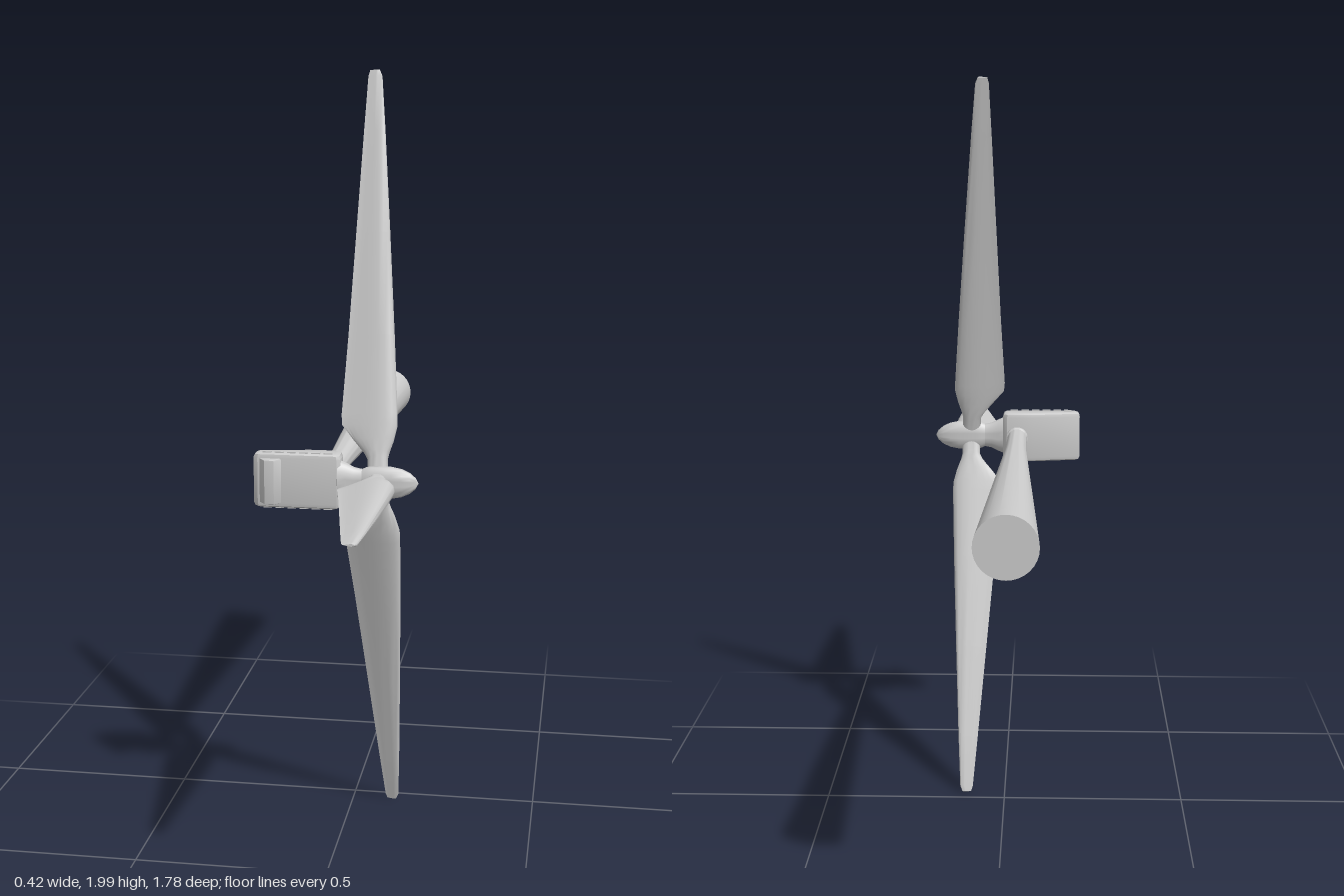
import * as THREE from 'three';
import { toCreasedNormals } from 'three/addons/utils/BufferGeometryUtils.js';

const grey = new THREE.MeshStandardMaterial({ color: 0xcccccc });

function add(parent, name, geometry) {
  const mesh = new THREE.Mesh(geometry, grey);
  mesh.name = name;
  parent.add(mesh);
  return mesh;
}

// Plan outline in x/z, extruded across y with bevelled sides
function slab(points, width, bevel) {
  const shape = new THREE.Shape(points.map(([x, z]) => new THREE.Vector2(x, z)));
  const depth = width - 2 * bevel;
  const geo = new THREE.ExtrudeGeometry(shape, {
    depth, bevelThickness: bevel, bevelSize: bevel, bevelOffset: -bevel, bevelSegments: 2,
  });
  geo.translate(0, 0, -depth / 2);
  geo.rotateX(Math.PI / 2);
  return toCreasedNormals(geo, 0.6);
}

// Lofted blade along +y: round root, widest near the root, thin tapered tip
function bladeGeometry(length, lean) {
  // span fraction, trailing x, leading x, half thickness, airfoil amount
  const stations = [
    [0.0, -0.026, 0.026, 0.026, 0], [0.055, -0.026, 0.026, 0.026, 0],
    [0.07, -0.034, 0.03, 0.027, 0.1], [0.10, -0.06, 0.042, 0.028, 0.5],
    [0.135, -0.088, 0.052, 0.028, 0.9], [0.16, -0.089, 0.053, 0.027, 1],
    [0.35, -0.068, 0.05, 0.021, 1], [0.6, -0.043, 0.044, 0.014, 1],
    [0.85, -0.018, 0.037, 0.008, 1], [0.985, -0.004, 0.032, 0.005, 1],
    [1.0, 0.001, 0.026, 0.003, 1],
  ];
  const n = 20, pos = [], index = [];
  for (const [t, x0, x1, h, k] of stations) {
    for (let j = 0; j < n; j++) {
      const a = (j / n) * Math.PI * 2, c = Math.cos(a);
      const foil = 1 - k + k * (1 + c) / 1.3;
      pos.push((x0 + x1) / 2 + (x1 - x0) / 2 * c + lean * t, t * length, h * Math.sin(a) * foil);
    }
  }
  for (let i = 0; i < stations.length - 1; i++) {
    for (let j = 0; j < n; j++) {
      const a = i * n + j, b = i * n + (j + 1) % n;
      index.push(a, a + n, b, b, a + n, b + n);
    }
  }
  // Tip cap
  const last = (stations.length - 1) * n;
  pos.push(0.0135 + lean, length, 0);
  for (let j = 0; j < n; j++) index.push(last + n, last + (j + 1) % n, last + j);
  const geo = new THREE.BufferGeometry();
  geo.setAttribute('position', new THREE.Float32BufferAttribute(pos, 3));
  geo.setIndex(index);
  return toCreasedNormals(geo, 0.8);
}

function lathe(points, segments) {
  const geo = new THREE.LatheGeometry(points.map(([r, y]) => new THREE.Vector2(r, y)), segments);
  return toCreasedNormals(geo, 0.6);
}

export function createModel() {
  const model = new THREE.Group();
  model.name = 'windTurbine';

  // Tower lies along z, tapering towards the nacelle
  const tower = add(model, 'tower', lathe([
    [0, -0.89], [0.074, -0.89], [0.03, 0.08], [0.027, 0.27],
    [0.031, 0.272], [0.031, 0.284], [0, 0.284],
  ], 32));
  tower.rotation.x = Math.PI / 2;
  tower.position.set(-0.029, 0.993, 0);

  // Nacelle and rotor are compressed to half depth along z
  const head = new THREE.Group();
  head.name = 'head';
  head.position.set(0, 0.993, 0.322);
  head.scale.z = 0.5;
  model.add(head);

  const nacelle = new THREE.Group();
  nacelle.name = 'nacelle';
  head.add(nacelle);
  add(nacelle, 'nacelleBody', slab([
    [-0.209, -0.03], [-0.075, -0.08], [0.0, -0.08], [0.012, -0.06],
    [0.012, 0.03], [0.003, 0.044], [-0.198, 0.044], [-0.209, 0.03],
  ], 0.14, 0.012));
  add(nacelle, 'cooler', slab([
    [-0.196, 0.035], [-0.135, 0.035], [-0.152, 0.09], [-0.176, 0.09],
  ], 0.115, 0.004));

  // Row of vents on both flanks
  for (const side of [-1, 1]) {
    for (let i = 0; i < 6; i++) {
      const vent = add(nacelle, 'vent', new THREE.BoxGeometry(0.022, 0.006, 0.016));
      vent.position.set(-0.175 + i * 0.031, side * 0.07, 0.018);
    }
  }

  // Hub: neck flowing into the rounded spinner
  const hub = add(head, 'hub', lathe([
    [0, 0], [0.055, 0.005], [0.047, 0.025], [0.037, 0.045], [0.033, 0.065], [0.038, 0.075],
    [0.041, 0.09], [0.042, 0.115], [0.041, 0.14], [0.036, 0.165], [0.027, 0.185],
    [0.014, 0.2], [0, 0.207],
  ], 32));
  hub.rotation.z = -Math.PI / 2;

  // Three blades, with angles about x and sideways lean of the tip
  const blades = [['frontBlade', 90, 0], ['upperBlade', -27.6, -0.06], ['lowerBlade', 210.1, -0.01]];
  for (const [name, degrees, lean] of blades) {
    const blade = add(head, name, bladeGeometry(1.136, lean));
    blade.position.x = 0.105;
    blade.rotation.x = THREE.MathUtils.degToRad(degrees);
  }
  return model;
}
